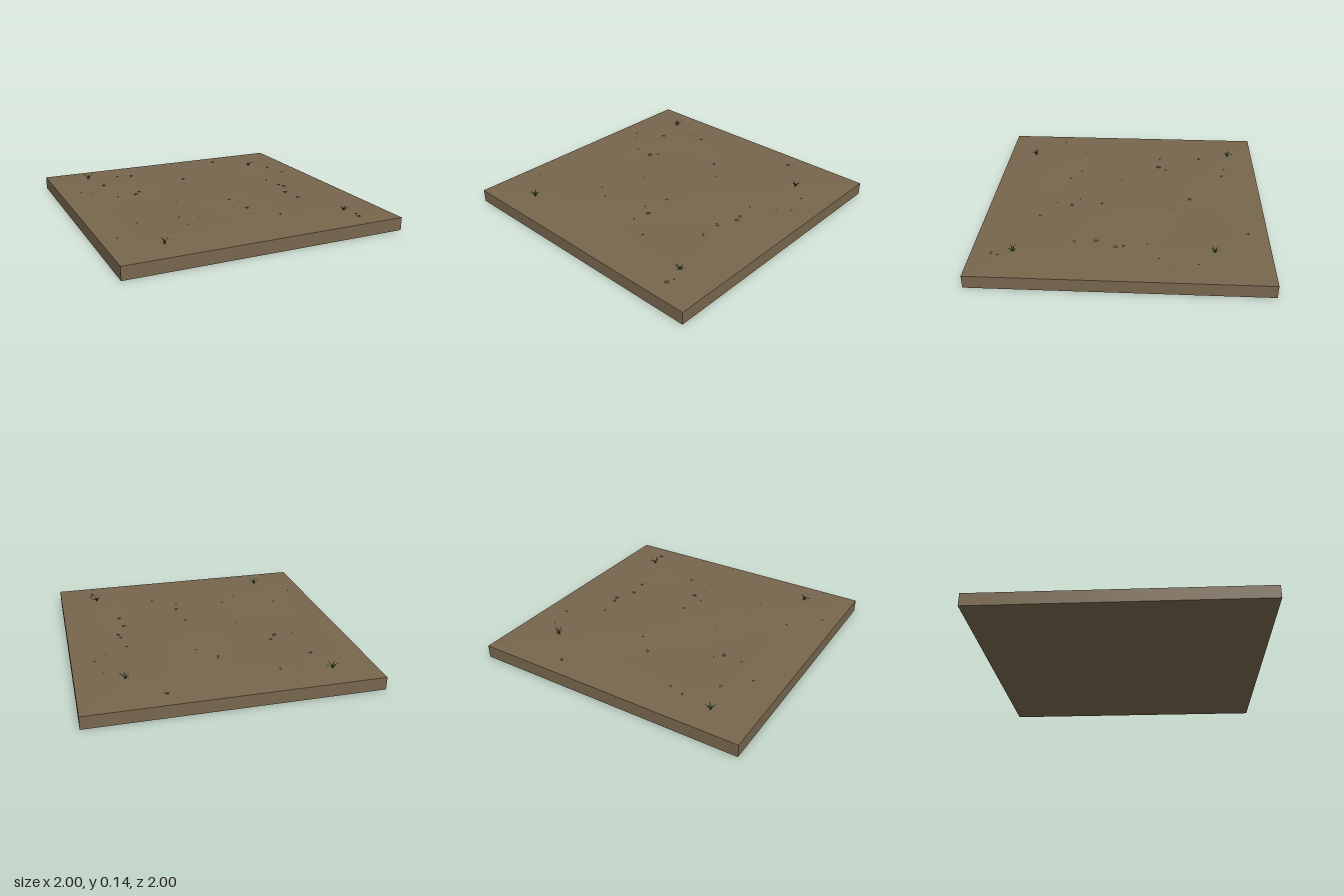
import * as THREE from 'three';

const soil = new THREE.MeshStandardMaterial({ color: 0x77664d });
soil.name = 'soil';
const stone = new THREE.MeshStandardMaterial({ color: 0x6a5a45, flatShading: true });
stone.name = 'stone';
const grass = new THREE.MeshStandardMaterial({ color: 0x2f5d2e, side: THREE.DoubleSide });
grass.name = 'grass';

// Seeded random numbers
let seed = 7;
const rand = () => (seed = (seed * 16807) % 2147483647) / 2147483647;

// Ground height: level at the rim, gently swollen inside
function groundHeight(x, z) {
  const inset = Math.min(1, (1 - Math.max(Math.abs(x), Math.abs(z))) / 0.3);
  return 0.091 + inset * (0.006 + 0.001 * Math.sin(x * 5 + 1) * Math.cos(z * 4));
}

function makeSlab() {
  const geo = new THREE.BoxGeometry(2, 0.09, 2, 32, 1, 32);
  const p = geo.attributes.position;
  for (let i = 0; i < p.count; i++) {
    p.setY(i, p.getY(i) > 0 ? groundHeight(p.getX(i), p.getZ(i)) : 0);
  }
  geo.computeVertexNormals();
  const slab = new THREE.Mesh(geo, soil);
  slab.name = 'groundSlab';
  return slab;
}

// A low, irregular stone half sunk in the soil
function makePebble(x, z, r) {
  const pebble = new THREE.Mesh(new THREE.DodecahedronGeometry(r), stone);
  pebble.name = 'pebble';
  pebble.scale.set(1, 0.4, 0.7 + 0.3 * rand());
  pebble.rotation.y = rand() * Math.PI;
  pebble.position.set(x, groundHeight(x, z) + r * 0.02, z);
  return pebble;
}

// A tapering blade that arches outward along +x
function makeBlade(length, height) {
  const pos = [], index = [], steps = 4;
  for (let i = 0; i <= steps; i++) {
    const t = i / steps, w = 0.0065 * (1 - t);
    const x = length * (0.35 * t + 0.65 * t * t), y = height * (1.6 * t - 0.6 * t * t);
    pos.push(x, y, w, x, y, -w);
    if (i < steps) {
      const a = 2 * i;
      index.push(a, a + 2, a + 1, a + 1, a + 2, a + 3);
    }
  }
  const geo = new THREE.BufferGeometry();
  geo.setAttribute('position', new THREE.Float32BufferAttribute(pos, 3));
  geo.setIndex(index);
  geo.computeVertexNormals();
  const blade = new THREE.Mesh(geo, grass);
  blade.name = 'grassBlade';
  return blade;
}

function makeTuft(x, z, turn) {
  const tuft = new THREE.Group();
  tuft.name = 'grassTuft';
  for (let i = 0; i < 6; i++) {
    const blade = makeBlade(0.035 + 0.023 * rand(), 0.022 + 0.021 * rand());
    blade.rotation.y = turn + (i / 6) * Math.PI * 2 + (rand() - 0.5) * 0.5;
    tuft.add(blade);
  }
  tuft.position.set(x, groundHeight(x, z) - 0.001, z);
  return tuft;
}

export function createModel() {
  const model = new THREE.Group();
  model.name = 'groundTile';
  model.add(makeSlab());

  // Pebbles: x, z, radius
  const pebbles = [
    [0.44, -0.86, 0.018], [-0.47, -0.76, 0.01], [-0.36, -0.73, 0.014], [-0.64, -0.56, 0.016],
    [0, -0.47, 0.018], [-0.85, -0.45, 0.007], [-0.79, -0.39, 0.008], [0.8, -0.51, 0.009],
    [0.84, -0.33, 0.009], [0.13, -0.33, 0.008], [-0.44, -0.29, 0.012], [-0.485, -0.235, 0.022],
    [-0.625, -0.24, 0.008], [0.755, -0.25, 0.007], [0.595, -0.165, 0.009], [0.62, -0.01, 0.015],
    [0.635, 0.04, 0.017], [-0.27, 0.05, 0.008], [0.095, 0.175, 0.014], [0.57, 0.18, 0.018],
    [0.585, 0.33, 0.016], [0.125, 0.395, 0.018], [0.04, 0.345, 0.007], [-0.685, 0.37, 0.009],
    [-0.385, 0.375, 0.007], [-0.27, 0.45, 0.009], [-0.39, 0.535, 0.007], [0.1, 0.51, 0.008],
    [-0.885, 0.57, 0.009], [0.28, 0.605, 0.012], [0.76, 0.815, 0.011], [0.745, 0.86, 0.017],
  ];
  for (const [x, z, r] of pebbles) model.add(makePebble(x, z, r));

  // Grass near each corner
  const tufts = [[-0.7, -0.8, 0], [0.67, -0.62, 0.4], [0.72, 0.72, 0.8], [-0.65, 0.79, 0.2]];
  for (const [x, z, turn] of tufts) model.add(makeTuft(x, z, turn));
  return model;
}
